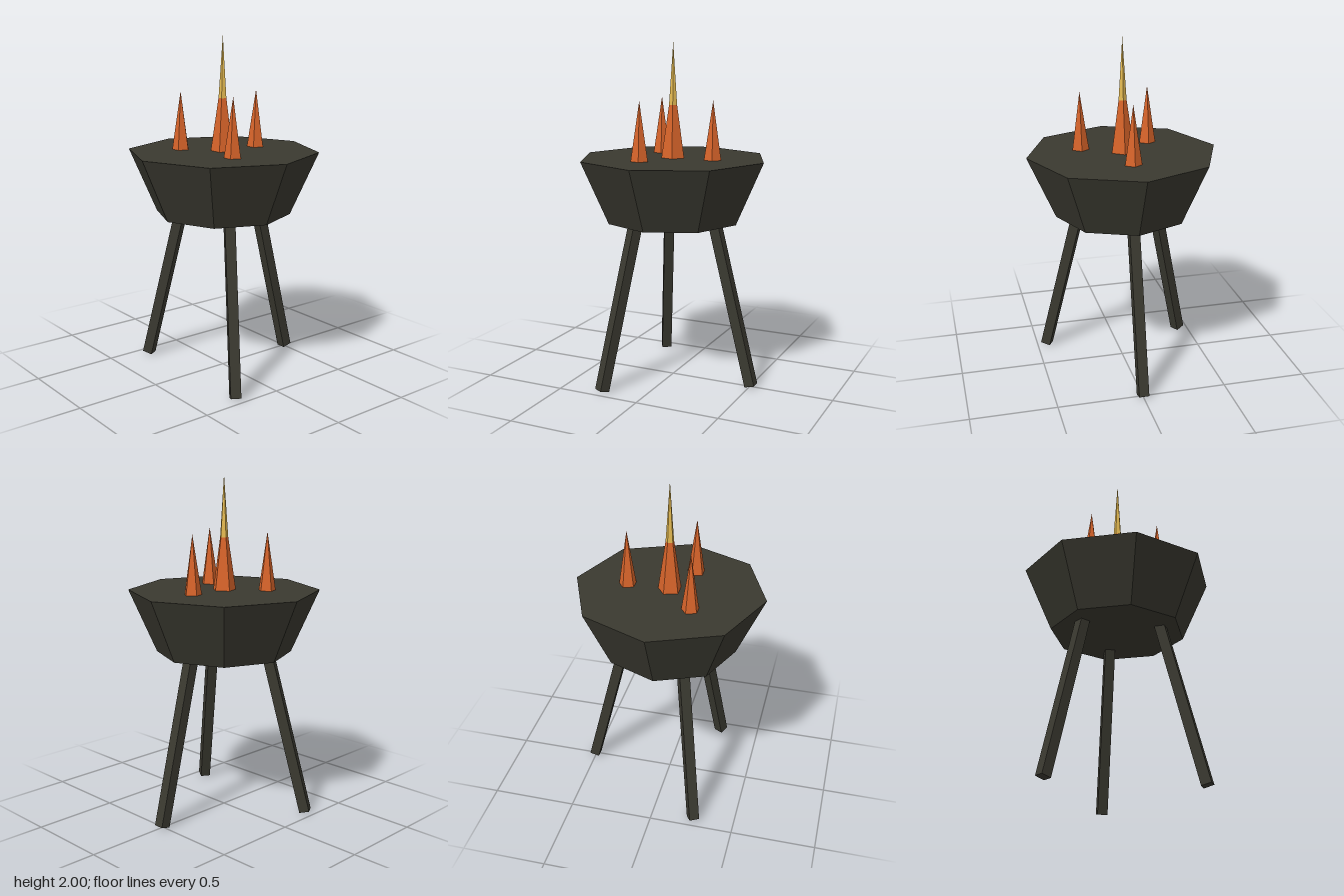
import * as THREE from 'three';

const material = (name, color) => {
  const m = new THREE.MeshStandardMaterial({ color, flatShading: true });
  m.name = name;
  return m;
};

export function createModel() {
  const iron = material('dark iron', 0x3a3930);
  const orange = material('flame orange', 0xd8642a);
  const gold = material('flame gold', 0xe6bb52);

  const model = new THREE.Group();
  model.name = 'brazier';
  const add = (name, geometry, mat, parent = model) => {
    const mesh = new THREE.Mesh(geometry, mat);
    mesh.name = name;
    parent.add(mesh);
    return mesh;
  };

  // Octagonal bowl, filled to the rim
  const rim = 1.335, base = 0.965;
  add('bowl', new THREE.CylinderGeometry(0.56, 0.397, rim - base, 8), iron)
    .position.y = (rim + base) / 2;

  // Three square legs splayed outward
  const tilt = 0.245, length = 1.01, side = 0.06;
  for (let i = 0; i < 3; i++) {
    const pivot = new THREE.Group();
    pivot.name = 'legMount' + (i + 1);
    pivot.rotation.y = (i * Math.PI * 2) / 3;
    model.add(pivot);
    const leg = add('leg', new THREE.BoxGeometry(side, length, side), iron, pivot);
    leg.rotation.z = tilt;
    leg.position.set(
      0.506 - Math.sin(tilt) * length / 2,
      Math.sin(tilt) * side / 2 + Math.cos(tilt) * length / 2, 0);
  }

  // Five-sided flames, each with a corner toward +x
  const flame = (name, radius, tip, x, z, mat) => {
    const height = tip - rim;
    add(name, new THREE.ConeGeometry(radius, height, 5, 1, false, Math.PI / 2), mat)
      .position.set(x, rim + height / 2, z);
  };
  flame('centralFlame', 0.07, 1.81, 0, 0, orange);
  flame('flameCore', 0.046, 2, 0, 0, gold);
  [[0.25, 0], [-0.105, 0.227], [-0.163, -0.19]].forEach(([x, z], i) =>
    flame('smallFlame' + (i + 1), 0.052, 1.675, x, z, orange));

  return model;
}
